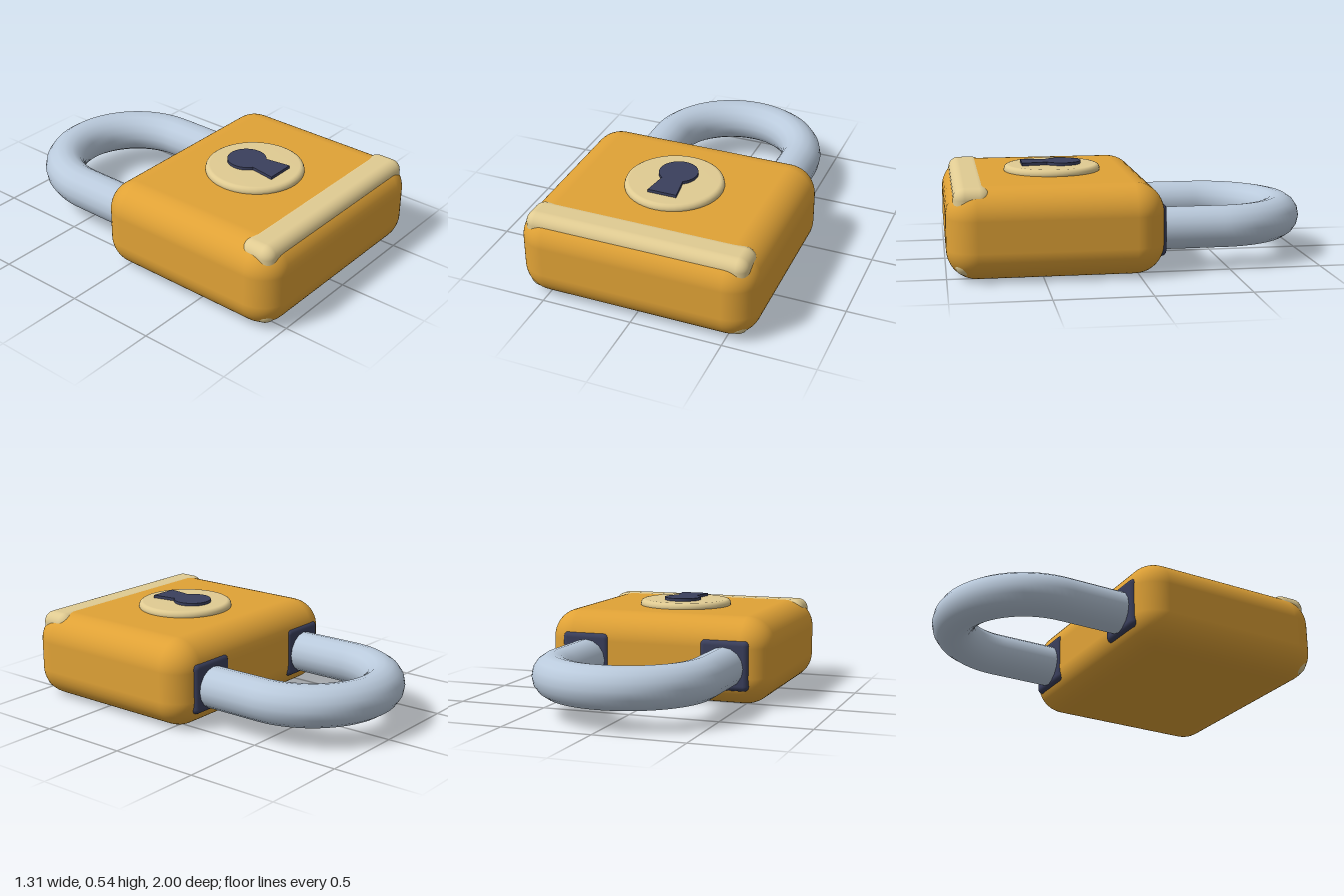
import * as THREE from 'three';
import { RoundedBoxGeometry } from 'three/addons/geometries/RoundedBoxGeometry.js';

const material = (name, color) => {
  const m = new THREE.MeshStandardMaterial({ color });
  m.name = name;
  return m;
};

export function createModel() {
  const gold = material('gold', 0xe0a236);
  const cream = material('cream', 0xe0cb92);
  const steel = material('steel', 0xbacadc);
  const navy = material('navy', 0x3a3f5c);

  const group = new THREE.Group();
  group.name = 'padlock';
  const add = (name, geometry, mat, x = 0, y = 0, z = 0) => {
    const mesh = new THREE.Mesh(geometry, mat);
    mesh.name = name;
    mesh.position.set(x, y, z);
    group.add(mesh);
    return mesh;
  };

  // Body, and a bar whose edges break through its rounded front edge
  add('body', new RoundedBoxGeometry(1.31, 0.485, 1.14, 6, 0.16), gold, 0, 0.2425, 0.43);
  add('trimBar', new RoundedBoxGeometry(1.22, 0.457, 0.195, 5, 0.06), cream, 0, 0.2585, 0.8625);

  // Round plate with a softened rim
  const profile = [[0, 0.47], [0.262, 0.47], [0.266, 0.49], [0.265, 0.5], [0.26, 0.511], [0.25, 0.517], [0.24, 0.519], [0, 0.519]]
    .map(([r, y]) => new THREE.Vector2(r, y));
  const plate = new THREE.LatheGeometry(profile, 48);
  add('keyPlate', plate, cream, 0, 0, 0.4);

  // Keyhole: disc joined to a flared slot, outlined in plan (shape y is -z)
  const hole = new THREE.Shape();
  const start = -Math.PI / 2 + 0.6;
  hole.moveTo(-0.08, -0.225);
  hole.lineTo(0.08, -0.225);
  hole.absarc(0, 0, 0.105, start, start + Math.PI * 2 - 1.2, false);
  hole.closePath();
  const holeGeometry = new THREE.ExtrudeGeometry(hole, { depth: 0.025, bevelEnabled: false, curveSegments: 32 });
  holeGeometry.rotateX(-Math.PI / 2);
  add('keyhole', holeGeometry, navy, 0, 0.51, 0.345);

  // Shackle: two straight legs joined by a half ring
  const path = new THREE.CurvePath();
  const legX = 0.405, bendZ = -0.48, shackleY = 0.217, r = 0.115;
  const v = (x, z) => new THREE.Vector3(x, shackleY, z);
  class Bend extends THREE.Curve {
    getPoint(t, target = new THREE.Vector3()) {
      const a = t * Math.PI;
      return target.set(legX * Math.cos(a), shackleY, bendZ - legX * Math.sin(a));
    }
  }
  path.add(new THREE.LineCurve3(v(legX, 0), v(legX, bendZ)));
  path.add(new Bend());
  path.add(new THREE.LineCurve3(v(-legX, bendZ), v(-legX, 0)));
  add('shackle', new THREE.TubeGeometry(path, 72, r, 16, false), steel);

  // Collars where the shackle enters the body
  for (const side of [-1, 1]) {
    add(side > 0 ? 'leftCollar' : 'rightCollar',
      new RoundedBoxGeometry(0.28, 0.28, 0.1, 3, 0.03), navy, side * 0.408, 0.23, -0.1);
  }
  return group;
}
